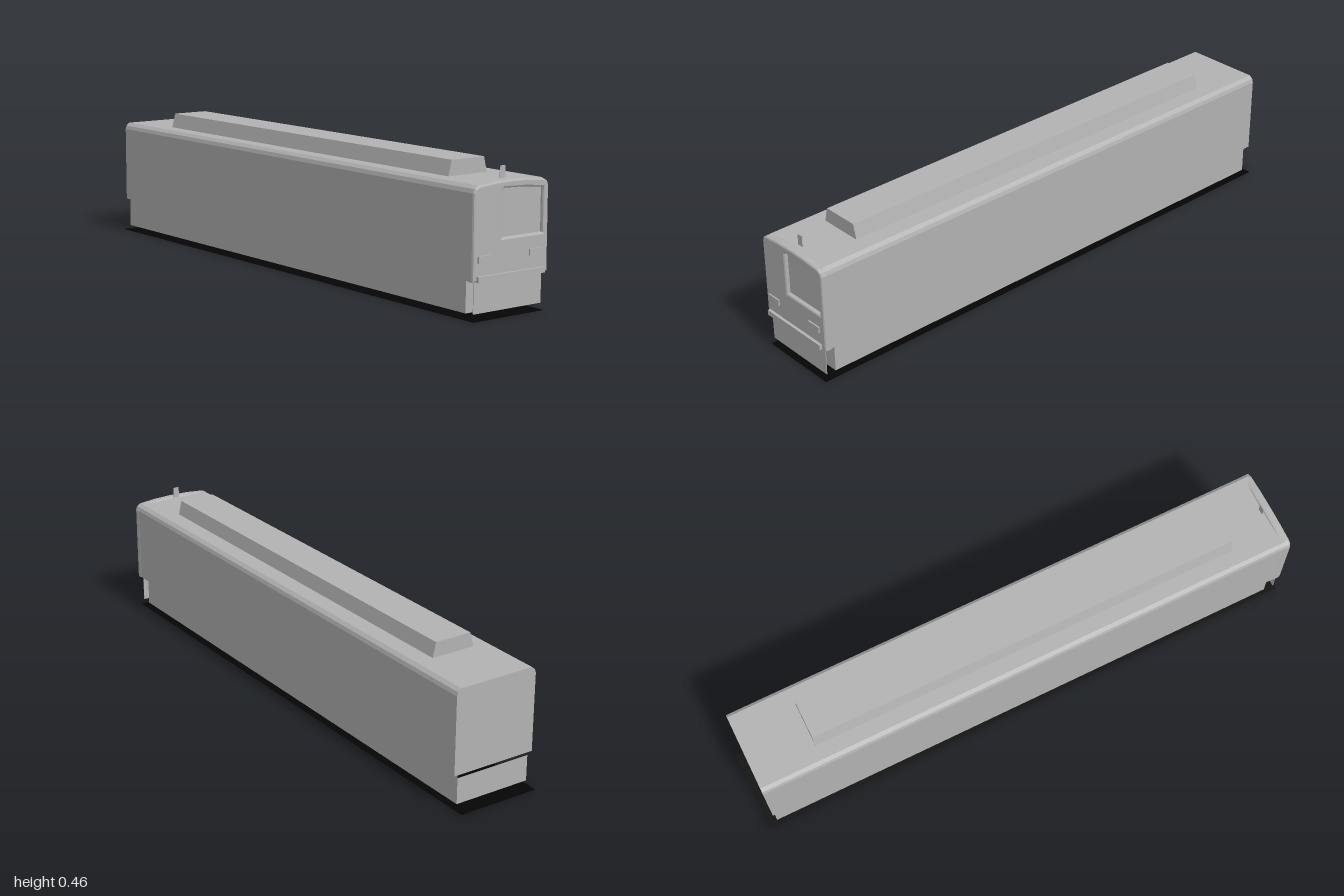
import * as THREE from 'three';

const grey = new THREE.MeshStandardMaterial({ color: 0xb2b2b2 });
grey.name = 'body grey';
const greyThin = grey; // one grey for every painted part
const black = new THREE.MeshStandardMaterial({ color: 0x050505, side: THREE.DoubleSide });
black.name = 'underside black';

const toShape = (pts) => new THREE.Shape(pts.map(([x, y]) => new THREE.Vector2(x, y)));

export function createModel() {
  const group = new THREE.Group();

  const add = (name, geometry, material = grey, x = 0, y = 0, z = 0) => {
    const mesh = new THREE.Mesh(geometry, material);
    mesh.name = name;
    mesh.position.set(x, y, z);
    group.add(mesh);
    return mesh;
  };
  // box from its limits
  const box = (name, x0, x1, y0, y1, z0, z1) => add(name,
    new THREE.BoxGeometry(x1 - x0, y1 - y0, z1 - z0), grey,
    (x0 + x1) / 2, (y0 + y1) / 2, (z0 + z1) / 2);
  // prism of an outline between two z values
  const prism = (name, pts, z0, z1) => add(name,
    new THREE.ExtrudeGeometry(toShape(pts), { depth: z1 - z0, bevelEnabled: false }), grey, 0, 0, z0);
  // single wall facing the given turn about y
  const wall = (name, w, y0, y1, x, z, turn) => {
    const mesh = add(name, new THREE.PlaneGeometry(w, y1 - y0), greyThin, x, (y0 + y1) / 2, z);
    mesh.rotation.y = turn;
  };

  // long body with chamfered roof edges
  prism('carBody', [
    [-0.152, 0.122], [0.15, 0.122], [0.15, 0.388], [0.146, 0.401], [0.134, 0.411],
    [-0.136, 0.411], [-0.148, 0.401], [-0.152, 0.388],
  ], -0.972, 0.975);

  // front cap with arched top and a recessed window opening
  const cap = toShape([
    [-0.153, 0.12], [0.151, 0.12], [0.151, 0.388], [0.146, 0.402], [0.132, 0.41],
    [0.07, 0.416], [0, 0.418], [-0.07, 0.416], [-0.134, 0.41], [-0.148, 0.402], [-0.153, 0.388],
  ]);
  cap.holes.push(new THREE.Path([
    [-0.038, 0.244], [-0.038, 0.388], [-0.032, 0.394], [0.05, 0.391], [0.13, 0.383], [0.13, 0.244],
  ].map(([x, y]) => new THREE.Vector2(x, y))));
  add('frontCap', new THREE.ExtrudeGeometry(cap, {
    depth: 0.014, bevelThickness: 0.008, bevelSize: 0.006, bevelOffset: -0.006, bevelSegments: 2,
  }), grey, 0, 0, 0.968);
  add('frontWindow', new THREE.PlaneGeometry(0.18, 0.16), grey, 0.046, 0.32, 0.977);

  // lamps and bumper
  box('rightLamp', -0.136, -0.083, 0.178, 0.199, 0.98, 0.995);
  box('leftLamp', 0.072, 0.125, 0.178, 0.199, 0.98, 0.995);
  box('bumper', -0.14, 0.131, 0.12, 0.138, 0.975, 1.0);

  // roof equipment fairing and small upright plate
  prism('roofFairing', [[-0.084, 0.41], [0.074, 0.41], [0.062, 0.461], [-0.071, 0.461]], -0.752, 0.795);
  box('roofPlate', -0.015, 0.007, 0.418, 0.456, 0.949, 0.951);

  // open skirt below the floor, shorter at the back
  const [x0, x1, z0, z1] = [-0.141, 0.132, -0.965, 0.945];
  wall('leftSkirt', z1 - z0, 0.019, 0.122, x1, (z0 + z1) / 2, Math.PI / 2);
  wall('rightSkirt', z1 - z0, 0.019, 0.122, x0, (z0 + z1) / 2, -Math.PI / 2);
  wall('frontSkirt', x1 - x0, 0.019, 0.122, (x0 + x1) / 2, z1, 0);
  wall('backSkirt', x1 - x0, 0.019, 0.108, (x0 + x1) / 2, z0, Math.PI);
  box('frontValance', -0.143, 0.134, 0.022, 0.122, 0.979, 0.981);

  // flat black underside
  const base = add('underside', new THREE.PlaneGeometry(0.29, 1.99), black, -0.005, 0, -0.005);
  base.rotation.x = -Math.PI / 2;

  return group;
}
